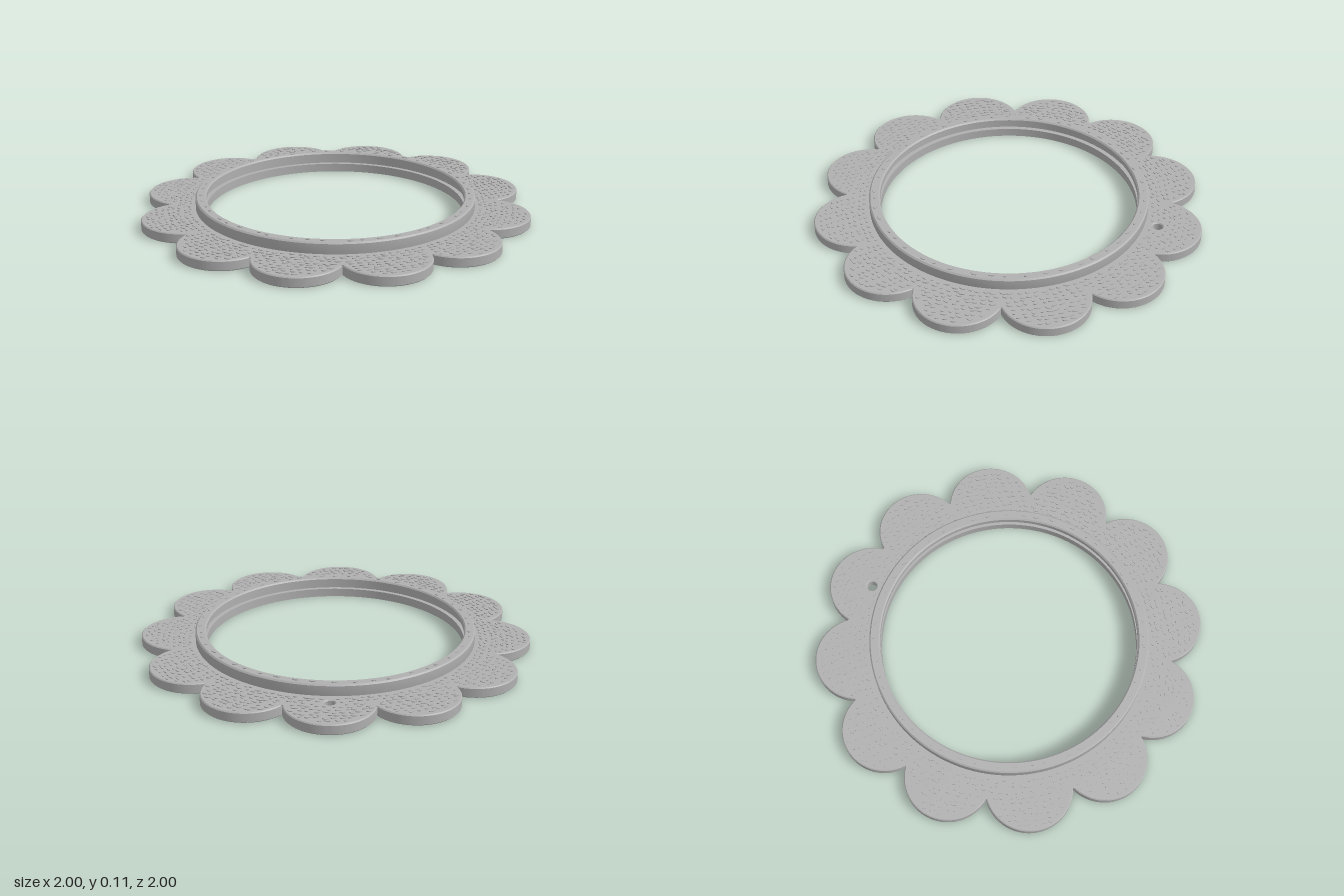
import * as THREE from 'three';
import { mergeGeometries, toCreasedNormals } from 'three/addons/utils/BufferGeometryUtils.js';

const PETALS = 12, PETAL_DIST = 0.781, PETAL_R = 0.219;
const PLATE_TOP = 0.053, RING_TOP = 0.11;

// Small seeded random generator
let seed = 7;
const rand = () => (seed = (seed * 16807) % 2147483647) / 2147483647;

// Scalloped outline: one arc per petal, meeting in sharp notches
function plateGeometry() {
  const shape = new THREE.Shape();
  const notchR = 0.838, step = (Math.PI * 2) / PETALS;
  const notchAngle = Math.atan2(notchR * Math.sin(step / 2), notchR * Math.cos(step / 2) - PETAL_DIST);
  for (let i = 0; i < PETALS; i++) {
    const a = i * step;
    shape.absarc(PETAL_DIST * Math.cos(a), PETAL_DIST * Math.sin(a), PETAL_R, a - notchAngle, a + notchAngle, false);
  }
  const circle = (y, r) => new THREE.Path().absarc(0, y, r, 0, Math.PI * 2, true);
  shape.holes.push(circle(0, 0.69), circle(0.78, 0.025));
  const bevel = 0.005;
  const geo = new THREE.ExtrudeGeometry(shape, {
    depth: PLATE_TOP - 2 * bevel, curveSegments: 32,
    bevelThickness: bevel, bevelSize: bevel, bevelOffset: -bevel, bevelSegments: 1,
  });
  geo.translate(0, 0, bevel).rotateX(-Math.PI / 2);
  return toCreasedNormals(geo, 0.5);
}

// Raised rim with a groove around its inner wall
function rimGeometry() {
  const profile = [
    [0.70, 0], [0.715, 0.045], [0.715, 0.103], [0.708, RING_TOP], [0.667, RING_TOP], [0.66, 0.103],
    [0.66, 0.078], [0.684, 0.078], [0.684, 0.045], [0.66, 0.045], [0.66, 0], [0.70, 0],
  ].map(([r, y]) => new THREE.Vector2(r, y));
  return toCreasedNormals(new THREE.LatheGeometry(profile, 128), 0.5);
}

// One low oval grain lying on a flat surface
function grain(r, a, y) {
  const g = new THREE.CylinderGeometry(1, 1, 0.006, 8);
  g.scale(0.008 + rand() * 0.009, 1, 0.005 + rand() * 0.004);
  g.rotateY((rand() - 0.5) * 0.8).translate(0, y + 0.001, r).rotateY(a);
  return g;
}

function insidePlate(r, a) {
  const step = (Math.PI * 2) / PETALS;
  const off = a - Math.round(a / step) * step;
  const toCentre = Math.hypot(r * Math.cos(off) - PETAL_DIST, r * Math.sin(off));
  const toHole = Math.hypot(r * Math.sin(a), r * Math.cos(a) + 0.78);
  return (toCentre < 0.198 || r < 0.79) && toHole > 0.05;
}

// Grains scattered in jittered rings over petals and rim
function grainGeometry() {
  const parts = [];
  for (let row = 0; row < 9; row++) {
    const count = 120 + row * 4;
    for (let i = 0; i < count; i++) {
      const r = 0.745 + row * 0.0275 + (rand() - 0.5) * 0.012;
      const a = ((i + (row % 2) / 2 + (rand() - 0.5) * 0.4) / count) * Math.PI * 2;
      if (insidePlate(r, a)) parts.push(grain(r, a, PLATE_TOP));
    }
  }
  for (let i = 0; i < 48; i++) {
    parts.push(grain(0.68 + rand() * 0.014, ((i + rand() * 0.5) / 48) * Math.PI * 2, RING_TOP));
  }
  return toCreasedNormals(mergeGeometries(parts), 0.9);
}

export function createModel() {
  const grey = new THREE.MeshStandardMaterial({ color: 0xb0b0b0 });
  grey.name = 'grey';
  const group = new THREE.Group();
  group.name = 'flowerFrame';
  const add = (name, geo) => {
    const mesh = new THREE.Mesh(geo, grey);
    mesh.name = name;
    group.add(mesh);
  };
  add('petalPlate', plateGeometry());
  add('rim', rimGeometry());
  add('surfaceGrains', grainGeometry());
  return group;
}
